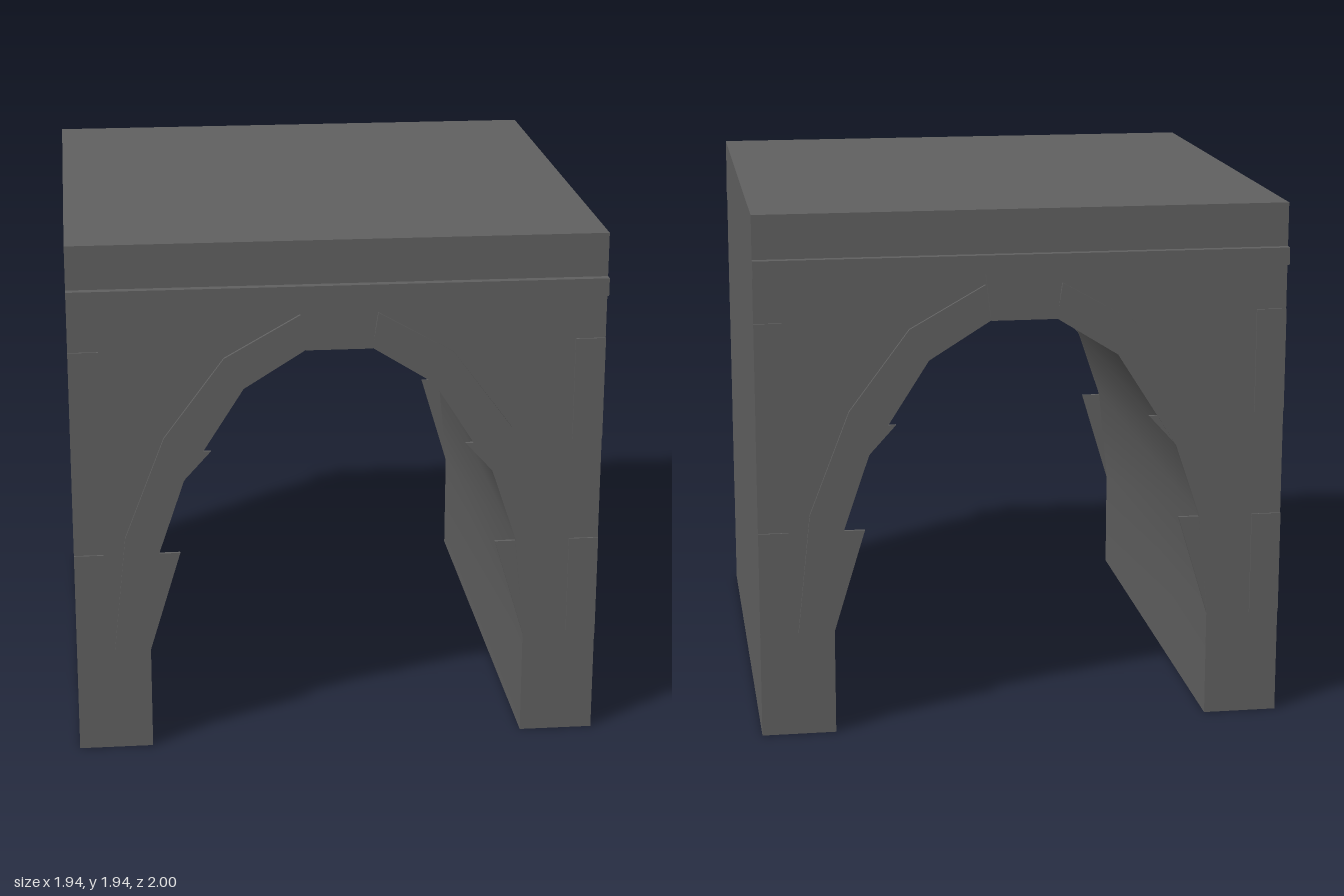
import * as THREE from 'three';
import { toCreasedNormals } from 'three/addons/utils/BufferGeometryUtils.js';

const stone = new THREE.MeshStandardMaterial({ color: 0x606060 });
stone.name = 'darkStone';

const W = 0.97; // half width and half depth of the block
const H = 1.94;

// right half of the opening, from the springing up to the keystone
const inner = [[0.697, 0.395], [0.657, 0.785], [0.565, 1.055], [0.345, 1.4], [0.12, 1.54]];
const outer = [[0.83, 0.395], [0.782, 0.84], [0.635, 1.22], [0.415, 1.515], [0.14, 1.67]];

const flip = (points) => points.map(([x, y]) => [-x, y]).reverse();

// extrude an outline between two depths
function slab(name, points, z0, z1) {
  const shape = new THREE.Shape(points.map(([x, y]) => new THREE.Vector2(x, y)));
  const geometry = new THREE.ExtrudeGeometry(shape, { depth: z1 - z0, bevelEnabled: false });
  geometry.translate(0, 0, z0);
  const mesh = new THREE.Mesh(toCreasedNormals(geometry, 0.7), stone);
  mesh.name = name;
  return mesh;
}

function box(name, x0, x1, y0, y1, z0, z1) {
  const geometry = new THREE.BoxGeometry(x1 - x0, y1 - y0, z1 - z0);
  geometry.translate((x0 + x1) / 2, (y0 + y1) / 2, (z0 + z1) / 2);
  const mesh = new THREE.Mesh(geometry, stone);
  mesh.name = name;
  return mesh;
}

// trim applied to one end of the passage
function createFacade(name) {
  const facade = new THREE.Group();
  facade.name = name;
  facade.add(box('cornice', -W, W, 1.715, 1.78, W - 0.01, 1));
  facade.add(slab('keystone', [[-0.12, 1.54], [0.12, 1.54], [0.14, 1.715], [-0.14, 1.715]], W - 0.01, 0.99));

  const band = [...outer, ...[...inner].reverse()];
  const lowerTooth = [[0.697, 0.395], [0.7, 0.775], [0.582, 0.775]];
  const upperTooth = [[0.565, 1.055], [0.57, 1.165], [0.465, 1.165]];
  for (const [side, mirror] of [['left', (p) => p], ['right', flip]]) {
    facade.add(slab(side + 'ArchBand', mirror(band), W - 0.005, 0.983));
    // jamb stones projecting into the opening
    facade.add(slab(side + 'LowerJambStone', mirror(lowerTooth), W - 0.005, 0.977));
    facade.add(slab(side + 'UpperJambStone', mirror(upperTooth), W - 0.005, 0.977));
    // alternating corner stones
    for (const y of [0.39, 1.165]) {
      const corner = [[0.86, y], [W, y], [W, y + 0.385], [0.86, y + 0.385]];
      facade.add(slab(side + 'CornerStone', mirror(corner), W - 0.005, 0.977));
    }
  }
  return facade;
}

export function createModel() {
  const model = new THREE.Group();
  model.name = 'archedPassage';

  // block with the arched tunnel running through it
  const opening = [[0.697, 0], ...inner];
  const outline = [[W, 0], [W, H], [-W, H], [-W, 0], ...flip(opening).reverse().map((p) => p), ...[...opening].reverse()];
  model.add(slab('tunnelBlock', outline, -W, W));

  const front = createFacade('frontFacade');
  const back = createFacade('backFacade');
  back.rotation.y = Math.PI;
  model.add(front, back);
  return model;
}
